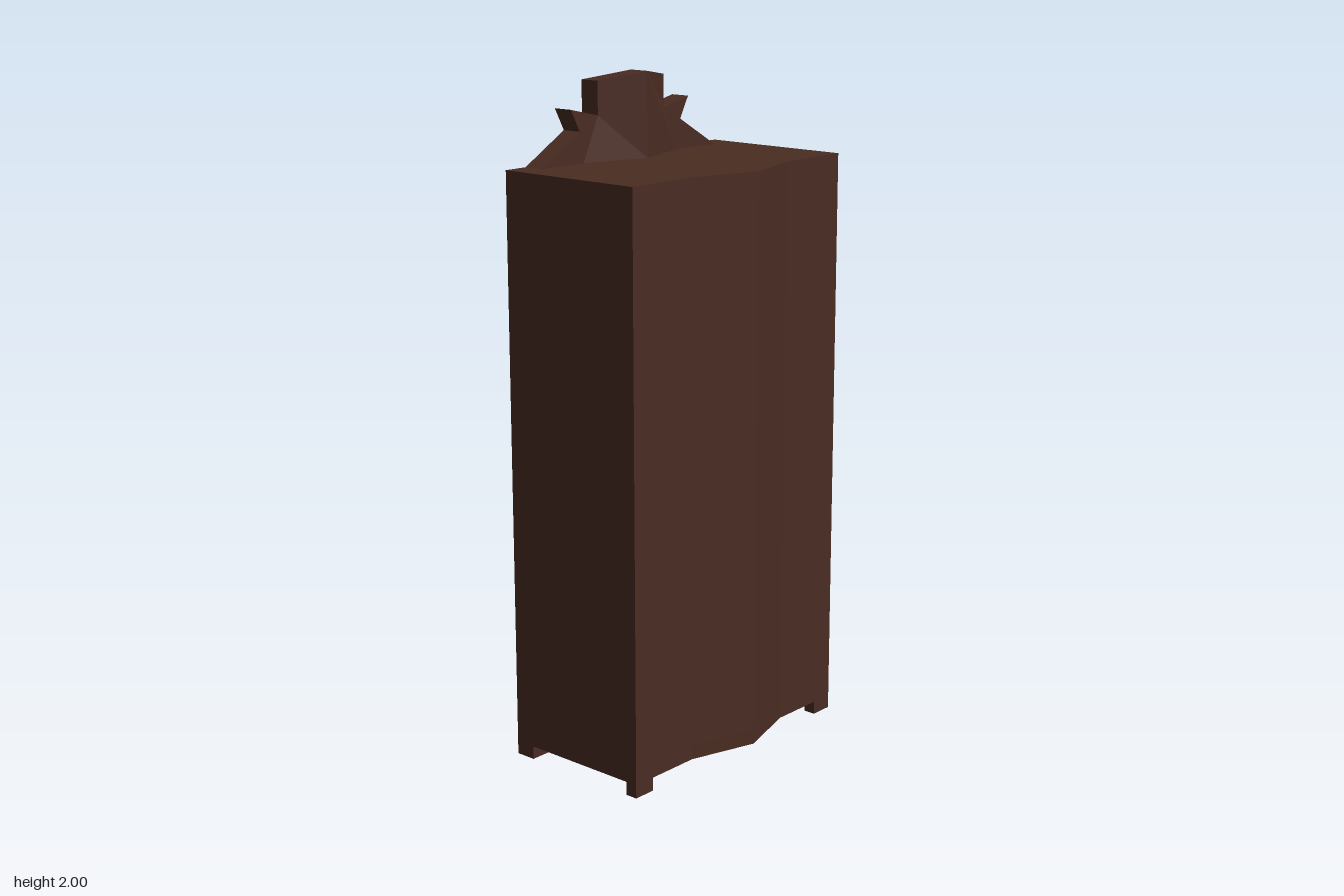
import * as THREE from 'three';

export function createModel() {
  const model = new THREE.Group();
  model.name = 'wardrobe';
  const wood = new THREE.MeshStandardMaterial({ color: 0x4a2c22 });
  wood.name = 'dark wood';
  const glass = new THREE.MeshStandardMaterial({ color: 0x0a0a0a });
  glass.name = 'black mirror';

  const add = (name, geometry, material = wood) => {
    const mesh = new THREE.Mesh(geometry, material);
    mesh.name = name;
    model.add(mesh);
    return mesh;
  };
  const shapeOf = (pts) => new THREE.Shape(pts.map(([a, b]) => new THREE.Vector2(a, b)));
  const box = (name, x0, x1, y0, y1, z0, z1) =>
    add(name, new THREE.BoxGeometry(x1 - x0, y1 - y0, Math.abs(z1 - z0)))
      .position.set((x0 + x1) / 2, (y0 + y1) / 2, (z0 + z1) / 2);
  // Plan outline [x, z], raised from y0 to y1
  const slab = (name, pts, y0, y1) => {
    const g = new THREE.ExtrudeGeometry(shapeOf(pts), { depth: y1 - y0, bevelEnabled: false });
    g.rotateX(-Math.PI / 2).translate(0, y0, 0);
    return add(name, g);
  };
  // Upright outline [z, y], thickened from x towards -x
  const upright = (pts, x, depth) =>
    new THREE.ExtrudeGeometry(shapeOf(pts), { depth, bevelEnabled: false })
      .rotateY(-Math.PI / 2).translate(x, 0, 0);

  // Carcass: pointed back, recessed door side, notched top and base boards
  const back = [[0.207, -0.447], [0.207, -0.205], [0.27, 0], [0.207, 0.205], [0.207, 0.447]];
  const board = [...back, [-0.272, 0.447], [-0.272, 0.127], [-0.21, 0], [-0.272, -0.127], [-0.272, -0.447]];
  slab('carcass', [...back, [-0.21, 0.447], [-0.21, -0.447]], 0.085, 1.71);
  slab('topBoard', board, 1.71, 1.75);
  slab('baseBoard', board, 0.04, 0.085);

  // Crest outlines: side wing and bent centre panel
  const wing = [[0.2, 1.75], [0.37, 1.75], [0.215, 1.84], [0.25, 1.905], [0.14, 1.88]];
  const centre = [[0, 1.75], [0.2, 1.75], [0.14, 1.88], [0.14, 1.978], [0, 2]];
  const mirrorHalf = [[0.002, 0.6], [0.04, 0.603], [0.1, 0.64], [0.15, 0.7], [0.222, 0.725],
    [0.222, 1.475], [0.15, 1.5], [0.1, 1.56], [0.04, 1.597], [0.002, 1.6]];

  for (const s of [-1, 1]) {
    const side = (pts) => pts.map(([z, y]) => [s * z, y]);
    box('post', -0.272, -0.21, 0.085, 1.71, s * 0.395, s * 0.447);
    box('frontFoot', -0.272, -0.208, 0, 0.04, s * 0.375, s * 0.447);
    box('backFoot', 0.17, 0.207, 0, 0.04, s * 0.375, s * 0.447);
    box('door', -0.217, -0.21, 0.088, 1.708, s * 0.002, s * 0.392);
    add('mirror', upright(side(mirrorHalf), -0.217, 0.005), glass);

    // Oval handle
    const handle = add('handle', new THREE.TorusGeometry(0.026, 0.008, 8, 20));
    handle.rotation.y = Math.PI / 2;
    handle.scale.y = 2.4;
    handle.position.set(-0.228, 0.95, s * 0.117);

    // Crest, pushed inwards along the middle line
    add('crestWing', upright(side(wing), -0.209, 0.063));
    const g = upright(side(centre), -0.209, 0.063);
    const p = g.attributes.position;
    for (let i = 0; i < p.count; i++) {
      if (Math.abs(p.getZ(i)) < 0.001) p.setX(i, p.getX(i) + 0.063);
    }
    g.computeVertexNormals();
    add('crestCentre', g);
  }
  return model;
}
